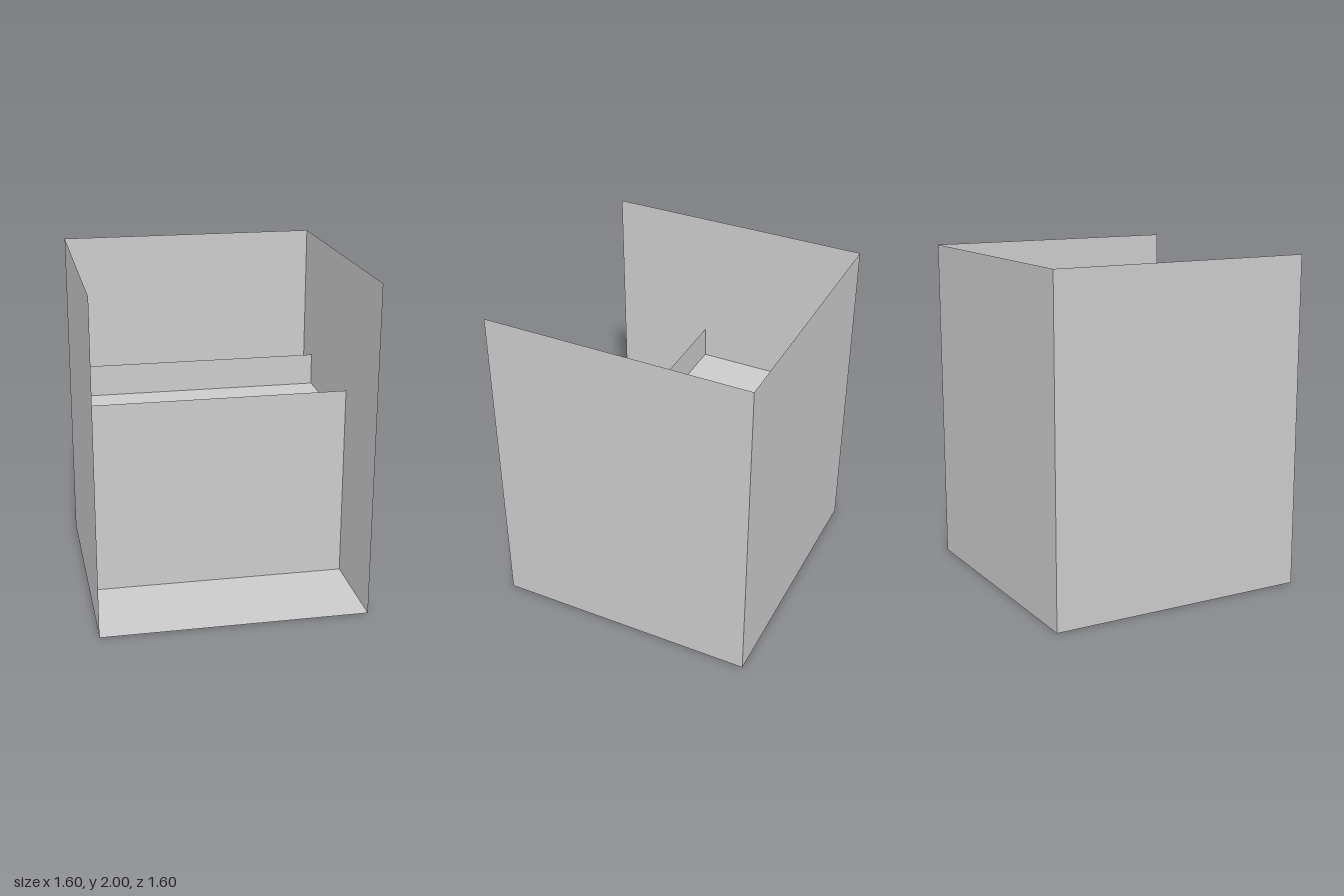
import * as THREE from 'three';

const material = new THREE.MeshStandardMaterial({ color: 0xcccccc, flatShading: true, side: THREE.DoubleSide });

// Thin sheet of the given size, centred at (x, y, z) and turned by (rx, ry, rz)
function sheet(name, width, height, position, rotation = [0, 0, 0]) {
  const mesh = new THREE.Mesh(new THREE.PlaneGeometry(width, height), material);
  mesh.name = name;
  mesh.position.set(...position);
  mesh.rotation.set(...rotation);
  return mesh;
}

export function createModel() {
  const group = new THREE.Group();
  group.name = 'openBooth';
  const flat = -Math.PI / 2;
  const half = 0.8;

  // Outer shell: floor, back and two sides, open at the front and top
  group.add(sheet('floor', 1.6, 1.6, [0, 0, 0], [flat, 0, 0]));
  group.add(sheet('backWall', 1.6, 2, [0, 1, -half], [0, Math.PI, 0]));
  for (const side of [-1, 1]) {
    group.add(sheet(side > 0 ? 'leftWall' : 'rightWall', 1.6, 2, [side * half, 1, 0], [0, side * Math.PI / 2, 0]));
  }

  // Counter: front and rear panels with a shelf set below their top edges
  group.add(sheet('counterFront', 1.6, 1.2, [0, 0.6, 0.2]));
  group.add(sheet('counterRear', 1.6, 1.2, [0, 0.6, -0.6]));
  group.add(sheet('counterShelf', 1.6, 0.8, [0, 1, -0.2], [flat, 0, 0]));

  // Sloping board in the gap behind the counter
  const run = 0.88, rise = 0.5;
  const ramp = new THREE.Group();
  ramp.name = 'slopingBoard';
  ramp.position.set(-0.24, rise / 2, -0.7);
  ramp.rotation.z = -Math.atan2(rise, run);
  ramp.add(sheet('board', Math.hypot(run, rise), 0.2, [0, 0, 0], [flat, 0, 0]));
  group.add(ramp);

  return group;
}
